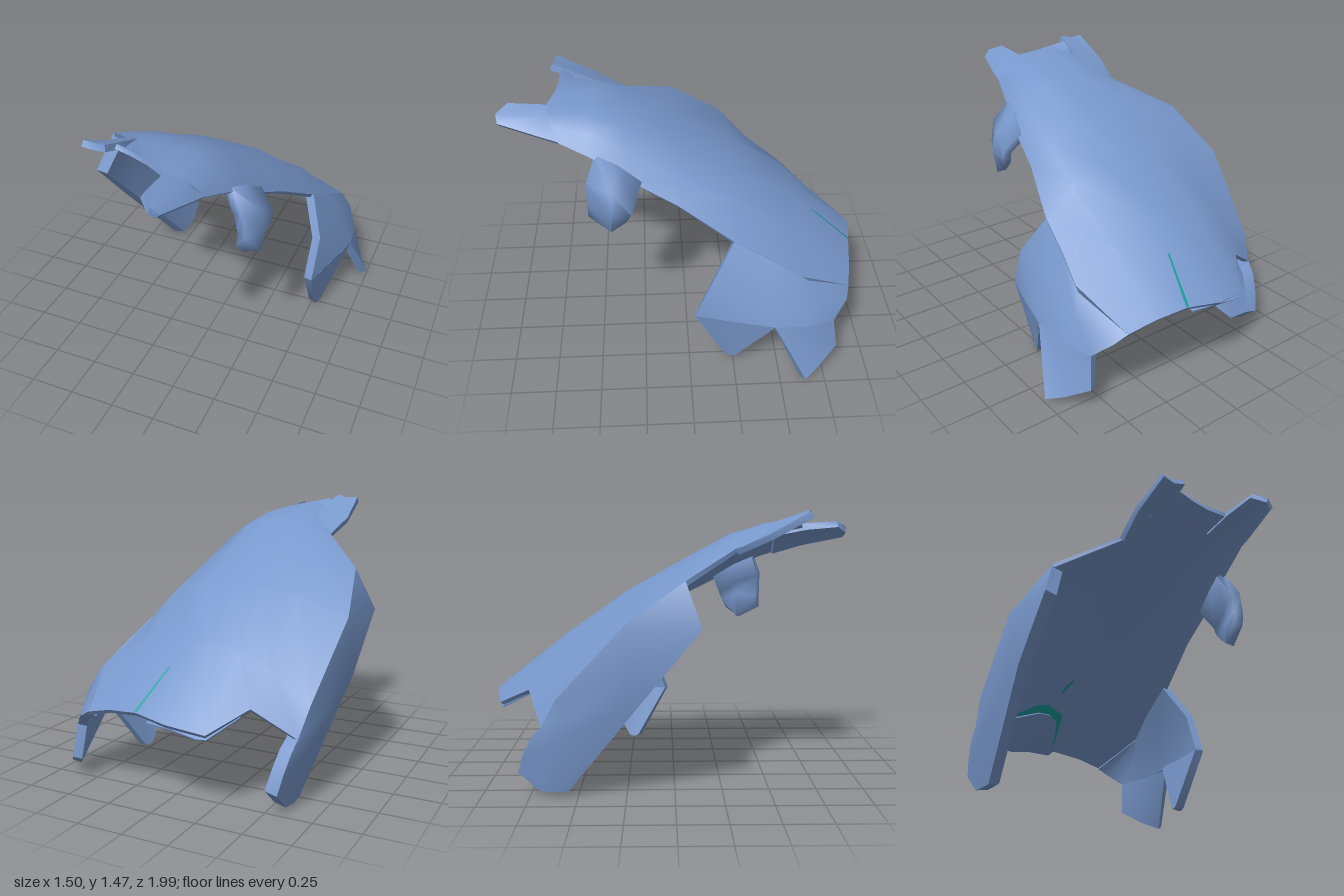
import * as THREE from 'three';
import { toCreasedNormals } from 'three/addons/utils/BufferGeometryUtils.js';

const blue = new THREE.MeshStandardMaterial({ color: 0x7898cc });
blue.name = 'shellBlue';
const teal = new THREE.MeshStandardMaterial({ color: 0x1a9c9e, side: THREE.DoubleSide });
teal.name = 'seamTeal';

// Cross-section at depth z; a point may carry its own z as third value
const row = (z, ...pts) => pts.map(([x, y, pz = z]) => [x, y, pz]);

// Index triangles for a grid of rows x cols
function gridIndex(R, C) {
  const idx = [];
  for (let r = 0; r < R - 1; r++) for (let c = 0; c < C - 1; c++) {
    const a = r * C + c, b = a + 1, d = a + C, e = d + 1;
    idx.push(a, b, d, b, e, d);
  }
  return idx;
}

function sheet(rows) {
  const g = new THREE.BufferGeometry();
  g.setAttribute('position', new THREE.Float32BufferAttribute(rows.flat(2), 3));
  g.setIndex(gridIndex(rows.length, rows[0].length));
  g.computeVertexNormals();
  return g;
}

// Solid curved plate: outer sheet, inner sheet offset along the normals, and rim walls.
// edge scales the thickness along the border; crease is the smoothing angle.
function shell(rows, thickness, edge = 1, crease = 0.75) {
  const R = rows.length, C = rows[0].length, n = R * C;
  const outer = sheet(rows), p = outer.attributes.position, nm = outer.attributes.normal;
  const pos = [...p.array];
  for (let i = 0; i < n; i++) {
    const r = Math.floor(i / C), c = i % C;
    const border = r === 0 || r === R - 1 || c === 0 || c === C - 1;
    const t = thickness * (border ? edge : 1);
    pos.push(p.getX(i) - nm.getX(i) * t, p.getY(i) - nm.getY(i) * t, p.getZ(i) - nm.getZ(i) * t);
  }
  const top = gridIndex(R, C), idx = [...top];
  for (let i = 0; i < top.length; i += 3) idx.push(top[i] + n, top[i + 2] + n, top[i + 1] + n);
  const rim = [];
  for (let c = 0; c < C - 1; c++) rim.push(c);
  for (let r = 0; r < R - 1; r++) rim.push(r * C + C - 1);
  for (let c = C - 1; c > 0; c--) rim.push((R - 1) * C + c);
  for (let r = R - 1; r > 0; r--) rim.push(r * C);
  rim.forEach((a, i) => {
    const b = rim[(i + 1) % rim.length];
    idx.push(a, a + n, b + n, a, b + n, b);
  });
  const g = new THREE.BufferGeometry();
  g.setAttribute('position', new THREE.Float32BufferAttribute(pos, 3));
  g.setIndex(idx);
  return toCreasedNormals(g, crease);
}

export function createModel() {
  const model = new THREE.Group();
  const add = (name, geometry, material = blue) => {
    const mesh = new THREE.Mesh(geometry, material);
    mesh.name = name;
    model.add(mesh);
  };

  // Main sloping back, from the front edge to the rear edge
  const back = [
    row(0.68, [-0.28, 1.44, 0.66], [-0.2, 1.425, 0.67], [-0.1, 1.405, 0.69], [0, 1.385, 0.73], [0.06, 1.37, 0.72], [0.13, 1.33, 0.7], [0.18, 1.26, 0.67]),
    row(0.5, [-0.36, 1.34], [-0.26, 1.385], [-0.14, 1.39], [-0.02, 1.375], [0.07, 1.355], [0.17, 1.3], [0.24, 1.2]),
    row(0.32, [-0.41, 1.26], [-0.28, 1.32], [-0.14, 1.33], [-0.02, 1.33], [0.1, 1.305], [0.22, 1.22], [0.3, 1.1]),
    row(0.05, [-0.66, 1.11], [-0.4, 1.17], [-0.18, 1.19], [-0.04, 1.185], [0.1, 1.165], [0.26, 1.09], [0.36, 0.96]),
    row(-0.25, [-0.73, 0.9], [-0.45, 0.99], [-0.24, 1.02], [-0.08, 1.02], [0.1, 1.01], [0.3, 0.95], [0.46, 0.78]),
    row(-0.6, [-0.67, 0.52], [-0.45, 0.69], [-0.28, 0.76], [-0.12, 0.775], [0, 0.77], [0.28, 0.72], [0.53, 0.59]),
    row(-0.95, [-0.64, 0.37, -0.68], [-0.43, 0.52, -0.77], [-0.28, 0.42], [-0.09, 0.46, -1], [0.1, 0.48, -0.96], [0.28, 0.46, -0.93], [0.43, 0.42, -0.9]),
  ];
  add('backShell', shell(back, 0.05, 0.5));

  // Tongue and raised horn on the front edge
  add('frontTongue', shell([
    row(0.58, [0.19, 1.235], [0.1, 1.33], [0.01, 1.355]),
    row(0.75, [0.165, 1.285], [0.09, 1.365], [0, 1.387]),
    row(0.96, [0.1, 1.335, 0.98], [0.06, 1.37, 0.99], [0, 1.4, 0.93]),
  ], 0.05, 0.8, 0.9));
  add('frontHorn', shell([
    row(0.32, [-0.28, 1.3], [-0.34, 1.285], [-0.41, 1.255]),
    row(0.5, [-0.27, 1.385], [-0.36, 1.37], [-0.45, 1.34]),
    row(0.7, [-0.31, 1.46, 0.72], [-0.37, 1.445], [-0.44, 1.45]),
  ], 0.05, 0.7));

  // Short hanging stub on the left
  add('leftStub', shell([
    [[0.31, 1.09, 0.24], [0.27, 1.17, 0.36], [0.23, 1.21, 0.48]],
    [[0.39, 0.99, 0.28], [0.37, 1.06, 0.4], [0.31, 1.09, 0.53]],
    [[0.39, 0.93, 0.3], [0.4, 0.96, 0.4], [0.33, 0.96, 0.53]],
    [[0.37, 0.87, 0.33], [0.37, 0.81, 0.41], [0.32, 0.88, 0.53]],
  ], 0.06, 0.9, 1.7));

  // Left flap with two prongs
  const split = [0.66, 0.34, -0.46];
  add('leftFlap', shell([
    [[0.43, 0.42, -0.9], [0.54, 0.57, -0.64], [0.5, 0.68, -0.45], [0.46, 0.79, -0.24]],
    [[0.5, 0.38, -0.88], [0.585, 0.47, -0.68], [0.575, 0.54, -0.46], [0.55, 0.58, -0.12]],
    [[0.58, 0.3, -0.8], [0.64, 0.32, -0.65], split, [0.54, 0.33, -0.03]],
  ], 0.05));
  add('leftRearProng', shell([
    [[0.58, 0.3, -0.8], [0.64, 0.32, -0.65], split],
    [[0.6, 0.12, -0.83], [0.69, 0.05, -0.72], [0.75, 0.015, -0.64]],
  ], 0.05));
  add('leftFrontProng', shell([
    [split, [0.6, 0.335, -0.24], [0.54, 0.33, -0.03]],
    [[0.55, 0.01, -0.26], [0.54, 0.005, -0.23], [0.53, 0.015, -0.2]],
  ], 0.05));

  // Long right flap sweeping down and back
  add('rightFlap', shell([
    [[-0.66, 1.11, 0.05], [-0.73, 0.9, -0.25], [-0.67, 0.52, -0.6], [-0.64, 0.37, -0.68]],
    [[-0.75, 0.88, 0.13], [-0.73, 0.7, -0.2], [-0.68, 0.42, -0.55], [-0.63, 0.32, -0.73]],
    [[-0.72, 0.56, -0.13], [-0.7, 0.45, -0.3], [-0.66, 0.3, -0.58], [-0.61, 0.22, -0.78]],
    [[-0.6, 0.02, -0.55], [-0.6, 0.015, -0.62], [-0.59, 0.02, -0.7], [-0.59, 0.12, -0.81]],
  ], 0.07));

  // Lip lining the underside of the rear edge, with a teal band along its front
  const bandHigh = [[-0.39, 0.52, -0.73], [-0.23, 0.62, -0.67], [-0.16, 0.635, -0.66], [-0.03, 0.61, -0.69], [0.05, 0.452, -0.9]];
  const bandLow = [[-0.39, 0.51, -0.735], [-0.2, 0.585, -0.7], [-0.12, 0.59, -0.7], [-0.05, 0.565, -0.73], [0.05, 0.442, -0.91]];
  const lipEnd = [[-0.39, 0.48, -0.8], [-0.28, 0.395, -0.94], [-0.23, 0.395, -0.95], [-0.1, 0.43, -0.97], [0.05, 0.435, -0.95]];
  add('rearLip', shell([bandLow, lipEnd], 0.008));
  add('lipBand', sheet([bandHigh, bandLow]), teal);

  // Small teal sliver on the underside
  add('undersideSliver', sheet([
    row(-0.495, [-0.085, 0.78], [-0.08, 0.78]),
    row(-0.55, [-0.11, 0.74], [-0.085, 0.745]),
    row(-0.593, [-0.115, 0.71], [-0.1, 0.71]),
  ]), teal);

  // Thin seam running forward from the rear edge
  const a = new THREE.Vector3(...back[5][4]), b = new THREE.Vector3(...back[6][4]);
  const seam = [0.38, 0.7, 1].map((t) => {
    const p = a.clone().lerp(b, t);
    const w = 0.003 + 0.006 * t;
    return [[p.x - w, p.y + 0.006, p.z], [p.x + w, p.y + 0.006, p.z]];
  });
  add('rearSeam', sheet(seam), teal);

  return model;
}
